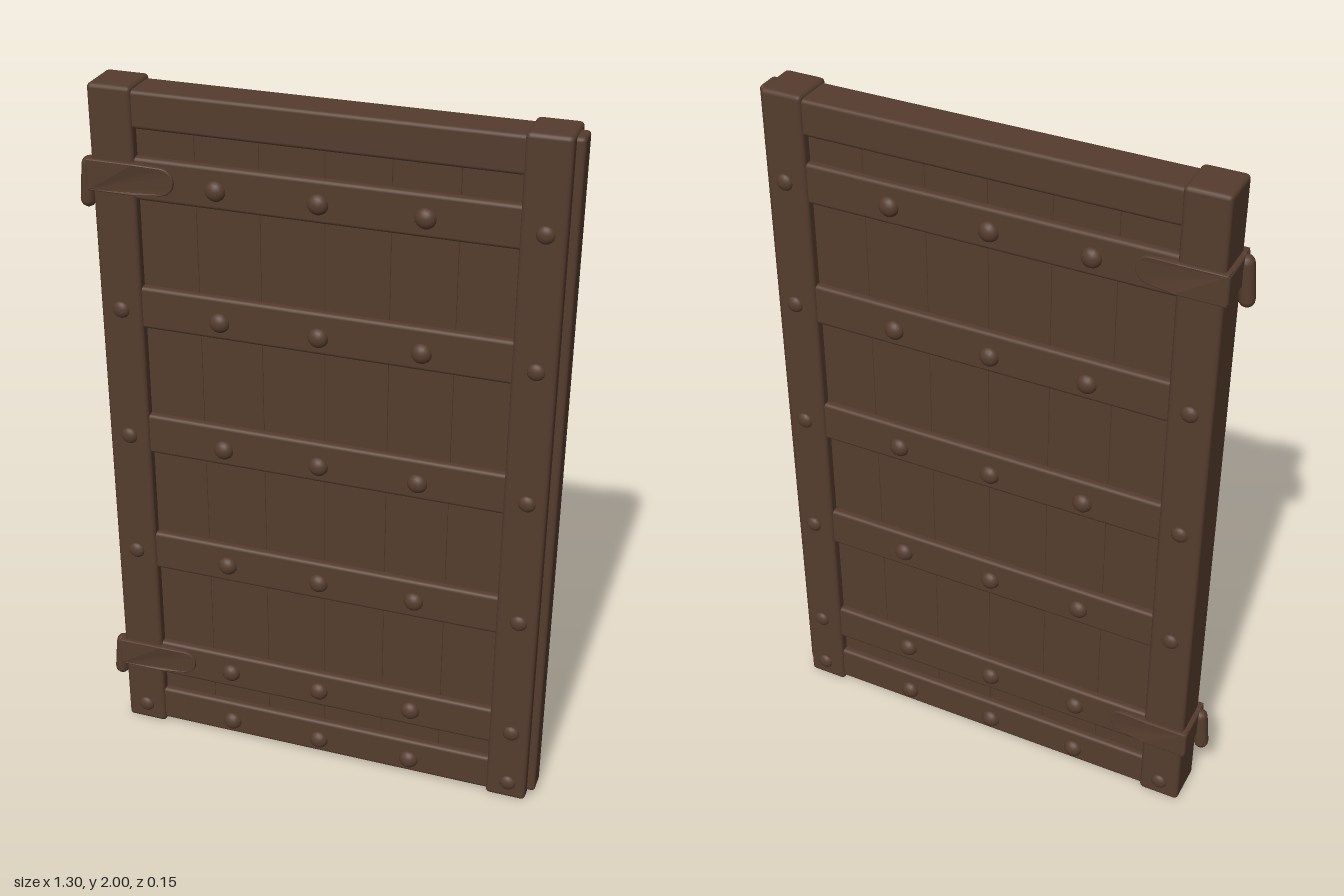
import * as THREE from 'three';
import { RoundedBoxGeometry } from 'three/addons/geometries/RoundedBoxGeometry.js';

export function createModel() {
  const door = new THREE.Group();
  door.name = 'door';
  const wood = new THREE.MeshStandardMaterial({ name: 'dark brown', color: 0x553c2e });

  const add = (name, geometry, x = 0, y = 0, z = 0) => {
    const mesh = new THREE.Mesh(geometry, wood);
    mesh.name = name;
    mesh.position.set(x, y, z);
    door.add(mesh);
    return mesh;
  };

  // Box given by its x and y limits and its half depth, with softened edges
  const slab = (name, x0, x1, y0, y1, halfZ, r = 0.008) =>
    add(name, new RoundedBoxGeometry(x1 - x0, y1 - y0, halfZ * 2, 2, r), (x0 + x1) / 2, (y0 + y1) / 2, 0);

  // Upright stiles and the closing strip on the latch edge
  slab('hingeStile', -0.607, -0.488, 0.005, 2, 0.064, 0.012);
  slab('latchStile', 0.514, 0.63, 0.005, 2, 0.064, 0.012);
  slab('edgeStrip', 0.6, 0.652, 0.02, 1.99, 0.034, 0.01);

  // Recessed vertical planks
  const planks = 6;
  const plankWidth = 1.04 / planks;
  for (let i = 0; i < planks; i++) {
    const x = -0.505 + i * plankWidth;
    slab('plank', x, x + plankWidth, 0.03, 1.97, 0.036, 0.002);
  }

  // Cross rails
  const rails = [[0.015, 0.125], [0.185, 0.3], [0.565, 0.685], [0.95, 1.07], [1.335, 1.455], [1.7, 1.815], [1.89, 1.99]];
  for (const [y0, y1] of rails) slab('rail', -0.5, 0.53, y0, y1, 0.056, 0.01);

  // Domed studs on both faces
  const dome = new THREE.SphereGeometry(1, 16, 6, 0, Math.PI * 2, 0, Math.PI / 2);
  dome.rotateX(Math.PI / 2);
  const stud = (x, y, z, r, height) => {
    for (const side of [1, -1]) {
      const mesh = add('stud', dome, x, y, z * side);
      mesh.scale.set(r, r, height);
      if (side < 0) mesh.rotation.y = Math.PI;
    }
  };
  for (const y of [0.06, 0.24, 0.62, 1.0, 1.385, 1.752]) {
    for (const x of [-0.27, 0.003, 0.28]) stud(x, y, 0.054, 0.028, 0.022);
    stud(0.578, y, 0.062, 0.024, 0.015);
    const hinged = y === 0.24 || y === 1.752;
    if (!hinged) stud(-0.548, y, 0.062, 0.024, 0.015);
  }

  // Hinge leaf with a rounded tip, thinning towards the rail
  const outline = new THREE.Shape();
  outline.moveTo(-0.615, -0.04);
  outline.lineTo(-0.49, -0.04);
  outline.lineTo(-0.42, -0.035);
  outline.absarc(-0.42, 0, 0.035, -Math.PI / 2, Math.PI / 2, false);
  outline.lineTo(-0.49, 0.04);
  outline.lineTo(-0.615, 0.04);
  outline.closePath();
  const leaf = new THREE.ExtrudeGeometry(outline, {
    depth: 0.026, bevelEnabled: true, bevelThickness: 0.004, bevelSize: 0.003, bevelSegments: 2, curveSegments: 10,
  });
  const p = leaf.attributes.position;
  for (let i = 0; i < p.count; i++) {
    const drop = THREE.MathUtils.clamp((p.getX(i) + 0.49) / 0.1, 0, 1) * 0.011;
    p.setZ(i, p.getZ(i) - drop);
  }
  leaf.computeVertexNormals();

  // Two wrapped strap hinges, each with a hanging pin
  for (const y of [0.247, 1.76]) {
    add('hingeLeafFront', leaf, 0, y, 0.043);
    const back = add('hingeLeafBack', leaf, 0, y, -0.043);
    back.geometry = leaf.clone().scale(1, -1, -1);
    add('hingeWrap', new RoundedBoxGeometry(0.03, 0.084, 0.146, 2, 0.008), -0.606, y, 0);
    const pin = add('hingePin', new THREE.CapsuleGeometry(0.021, 0.098, 4, 14), -0.626, y - 0.029, 0.042);
    pin.rotation.z = -0.1;
  }
  return door;
}
